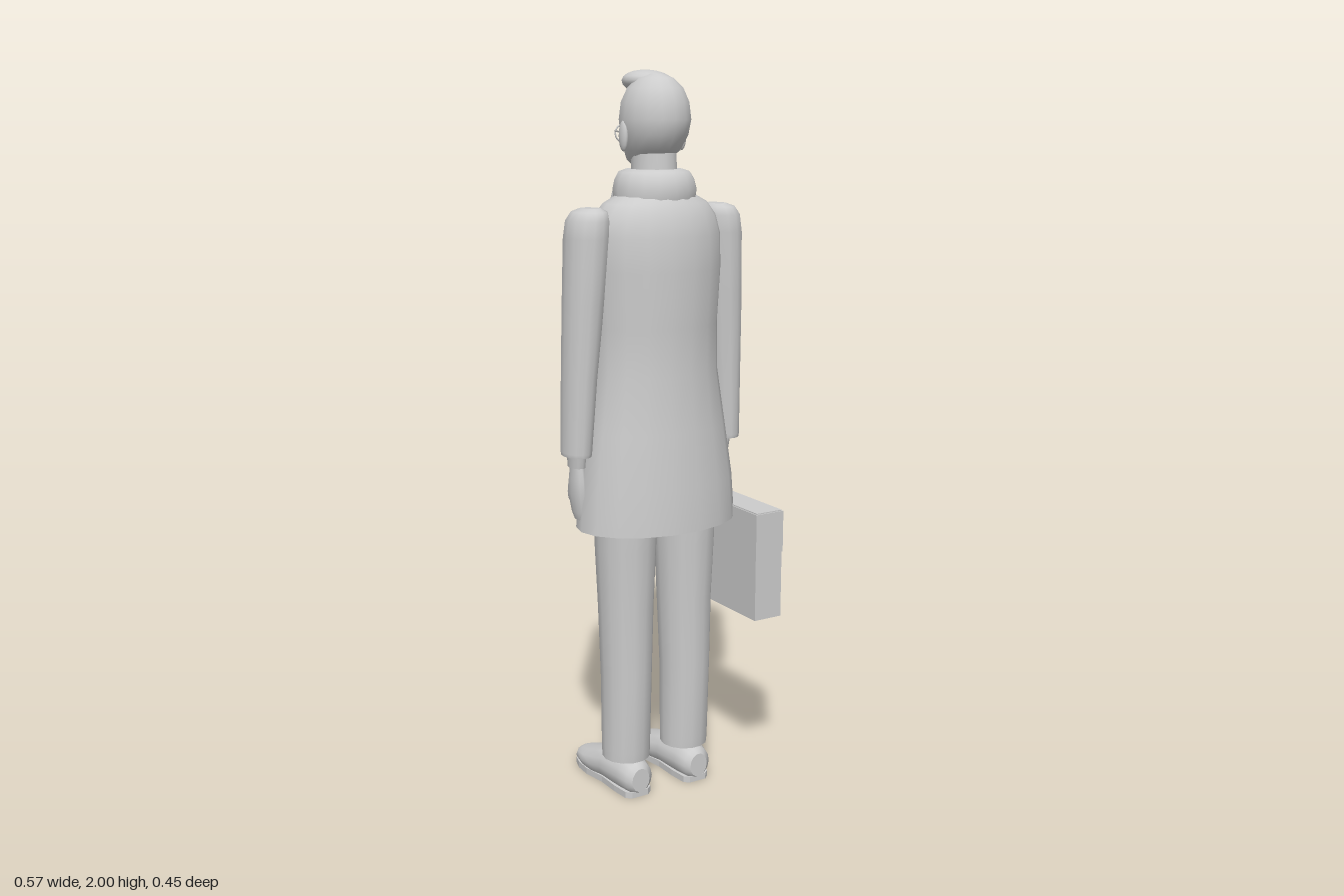
import * as THREE from 'three';

const clay = new THREE.MeshStandardMaterial({ color: 0xcccccc, side: THREE.DoubleSide });
clay.name = 'light grey';

// Loft from sections [along, cu, cv, ru, rv]; capped, smooth sides, crisp cap edges.
function loft(sections, { n = 16, place = (u, t, v) => [u, t, v], power = 1 } = {}) {
  const pos = [], idx = [];
  const shape = (c) => Math.sign(c) * Math.pow(Math.abs(c), power);
  const ring = ([t, cu, cv, ru, rv]) => {
    const start = pos.length / 3;
    for (let i = 0; i < n; i++) {
      const a = (i / n) * Math.PI * 2;
      pos.push(...place(cu + ru * shape(Math.cos(a)), t, cv + rv * shape(Math.sin(a))));
    }
    return start;
  };
  const starts = sections.map(ring);
  for (let k = 0; k + 1 < starts.length; k++) {
    for (let i = 0; i < n; i++) {
      const j = (i + 1) % n, p = starts[k], q = starts[k + 1];
      idx.push(p + i, q + i, p + j, p + j, q + i, q + j);
    }
  }
  [sections[0], sections[sections.length - 1]].forEach((s, end) => {
    const r = ring(s), c = pos.length / 3;
    pos.push(...place(s[1], s[0], s[2]));
    for (let i = 0; i < n; i++) {
      const j = (i + 1) % n;
      if (end) idx.push(c, r + j, r + i);
      else idx.push(c, r + i, r + j);
    }
  });
  const g = new THREE.BufferGeometry();
  g.setAttribute('position', new THREE.Float32BufferAttribute(pos, 3));
  g.setIndex(idx);
  g.computeVertexNormals();
  return g;
}

export function createModel() {
  const model = new THREE.Group();
  model.name = 'manWithBriefcase';
  const C = -0.01; // body centre line; the figure faces -z
  const add = (name, geometry, x = 0, y = 0, z = 0, parent = model) => {
    const m = new THREE.Mesh(geometry, clay);
    m.name = name;
    m.position.set(x, y, z);
    parent.add(m);
    return m;
  };
  const ball = (name, x, y, z, sx, sy, sz, parent = model) => {
    const m = add(name, new THREE.SphereGeometry(1, 14, 10), x, y, z, parent);
    m.scale.set(sx, sy, sz);
    return m;
  };

  // Long flared coat
  add('coat', loft([
    [0.78, 0, 0.036, 0.238, 0.161], [0.9, 0, 0.034, 0.23, 0.156], [1.05, 0, 0.03, 0.208, 0.147],
    [1.2, 0, 0.026, 0.185, 0.139], [1.33, 0, 0.024, 0.183, 0.143], [1.48, 0, 0.024, 0.192, 0.15],
    [1.57, 0, 0.026, 0.19, 0.144], [1.62, 0, 0.028, 0.175, 0.13], [1.655, 0, 0.03, 0.148, 0.112],
    [1.68, 0, 0.03, 0.1, 0.09],
  ], { n: 18 }), C);
  add('coatEdge', new THREE.BoxGeometry(0.008, 0.32, 0.008), 0.015, 1.25, -0.114);

  // Wrapped scarf with one hanging end
  add('scarfWrap', loft([
    [1.665, 0, 0.028, 0.112, 0.105], [1.69, 0, 0.027, 0.114, 0.11], [1.715, 0, 0.026, 0.108, 0.104],
    [1.735, 0, 0.024, 0.096, 0.094], [1.742, 0, 0.024, 0.075, 0.075],
  ]), C);
  const end = new THREE.BoxGeometry(0.075, 0.28, 0.014, 2, 8, 1);
  const p = end.attributes.position;
  for (let i = 0; i < p.count; i++) {
    const t = 0.5 - p.getY(i) / 0.28; // 0 at the top, 1 at the bottom
    p.setX(i, p.getX(i) * (0.75 + 0.25 * t) - 0.02 * t);
    p.setZ(i, p.getZ(i) - 0.078 - 0.057 * Math.sin(t * Math.PI / 2) - 0.18 * p.getX(i));
  }
  end.computeVertexNormals();
  add('scarfEnd', end, -0.05, 1.54, 0);

  // Neck and head
  add('neck', loft([[1.68, 0, 0.028, 0.062, 0.066], [1.8, 0, 0.02, 0.06, 0.064]]), C);
  const head = new THREE.Group();
  head.name = 'head';
  head.position.x = C;
  model.add(head);
  add('skull', loft([
    [1.752, 0, -0.03, 0.034, 0.03], [1.765, 0, -0.008, 0.056, 0.06], [1.79, 0, 0.013, 0.073, 0.083],
    [1.83, 0, 0.025, 0.087, 0.099], [1.87, 0, 0.028, 0.094, 0.104], [1.915, 0, 0.028, 0.088, 0.099],
    [1.95, 0, 0.029, 0.072, 0.082], [1.975, 0, 0.03, 0.047, 0.055], [1.986, 0, 0.03, 0.02, 0.024],
  ]), 0, 0, 0, head);
  const quiff = ball('quiff', 0.008, 1.964, -0.018, 0.069, 0.033, 0.078, head);
  quiff.rotation.z = -0.1;
  add('nose', loft([
    [1.805, 0, -0.085, 0.014, 0.018], [1.82, 0, -0.085, 0.012, 0.02], [1.86, 0, -0.074, 0.006, 0.008],
  ], { n: 8 }), 0, 0, 0, head);
  add('mouth', new THREE.BoxGeometry(0.04, 0.006, 0.01), 0, 1.783, -0.068, head);
  for (const s of [-1, 1]) {
    ball('ear', s * 0.09, 1.828, 0.018, 0.01, 0.04, 0.018, head);
    add('lensRim', new THREE.TorusGeometry(0.022, 0.0025, 6, 16), s * 0.031, 1.832, -0.088, head);
    ball('eye', s * 0.032, 1.835, -0.066, 0.012, 0.008, 0.008, head);
    const brow = add('eyebrow', new THREE.BoxGeometry(0.034, 0.007, 0.01), s * 0.034, 1.867, -0.07, head);
    brow.rotation.set(0, s * -0.3, s * 0.1);
    const temple = add('glassesArm', new THREE.BoxGeometry(0.003, 0.004, 0.105), s * 0.074, 1.838, -0.037, head);
    temple.rotation.y = s * 0.38;
  }
  add('glassesBridge', new THREE.BoxGeometry(0.02, 0.004, 0.004), 0, 1.84, -0.094, head);

  for (const s of [-1, 1]) {
    // Sleeve, shirt cuff and hand
    add('sleeve', loft([
      [0.99, s * 0.238, 0.013, 0.037, 0.053], [1.0, s * 0.238, 0.013, 0.039, 0.055],
      [1.2, s * 0.23, 0.018, 0.046, 0.058], [1.4, s * 0.219, 0.024, 0.054, 0.064],
      [1.57, s * 0.209, 0.027, 0.059, 0.069], [1.615, s * 0.205, 0.027, 0.056, 0.067],
      [1.637, s * 0.2, 0.027, 0.046, 0.056], [1.646, s * 0.196, 0.027, 0.025, 0.035],
    ], { n: 14 }), C);
    add('cuff', loft([[0.955, s * 0.232, 0.004, 0.022, 0.032], [1.01, s * 0.235, 0.008, 0.025, 0.036]], { n: 12 }), C);
    add('hand', loft([
      [0.808, s * 0.222, 0.004, 0.013, 0.024], [0.83, s * 0.225, 0.003, 0.017, 0.033],
      [0.88, s * 0.229, 0, 0.02, 0.041], [0.92, s * 0.23, 0.002, 0.019, 0.035],
      [0.965, s * 0.231, 0.004, 0.017, 0.024],
    ], { n: 12 }), C);
    const thumb = ball('thumb', C + s * 0.222, 0.885, -0.043, 0.011, 0.04, 0.014);
    thumb.rotation.x = 0.15;

    // Trouser leg
    add('trouserLeg', loft([
      [0.1, s * 0.097, 0.03, 0.067, 0.069], [0.13, s * 0.097, 0.03, 0.068, 0.071],
      [0.35, s * 0.097, 0.033, 0.071, 0.076], [0.55, s * 0.096, 0.03, 0.077, 0.081],
      [0.72, s * 0.096, 0.03, 0.084, 0.09], [0.85, s * 0.096, 0.03, 0.085, 0.095],
    ], { n: 14 }), C);

    // Shoe running heel to toe, on a flat sole
    const alongZ = (u, t, v) => [u, Math.max(v, 0.015), t];
    add('shoe', loft([
      [0.112, 0, 0.05, 0.028, 0.035], [0.1, 0, 0.052, 0.043, 0.047], [0.06, 0, 0.055, 0.052, 0.055],
      [-0.03, 0, 0.05, 0.056, 0.055], [-0.08, 0, 0.04, 0.06, 0.048], [-0.13, 0, 0.033, 0.059, 0.035],
      [-0.175, 0, 0.03, 0.05, 0.024], [-0.203, 0, 0.028, 0.029, 0.014],
    ], { n: 14, place: alongZ }), C + s * 0.097);
    const sole = [[0.108, 0.026], [0.095, 0.041], [0.04, 0.046], [-0.03, 0.046], [-0.1, 0.058],
      [-0.15, 0.055], [-0.18, 0.046], [-0.2, 0.028]];
    const outline = [...sole.map(([z, w]) => [w, z]), ...sole.slice().reverse().map(([z, w]) => [-w, z])];
    const soleShape = new THREE.Shape(outline.map(([x, z]) => new THREE.Vector2(x, z)));
    const soleGeo = new THREE.ExtrudeGeometry(soleShape, { depth: 0.018, bevelEnabled: false });
    soleGeo.rotateX(Math.PI / 2).translate(0, 0.018, 0);
    add('sole', soleGeo, C + s * 0.097);
  }

  // Briefcase in the left hand
  const bag = new THREE.Group();
  bag.name = 'briefcase';
  bag.position.set(0.242, 0, -0.001);
  model.add(bag);
  add('briefcaseBody', new THREE.BoxGeometry(0.088, 0.19, 0.448), 0, 0.595, 0, bag);
  add('briefcaseLid', new THREE.BoxGeometry(0.091, 0.117, 0.454), 0, 0.7485, 0, bag);
  add('briefcaseTop', new THREE.BoxGeometry(0.084, 0.004, 0.447), 0, 0.808, 0, bag);
  return model;
}
